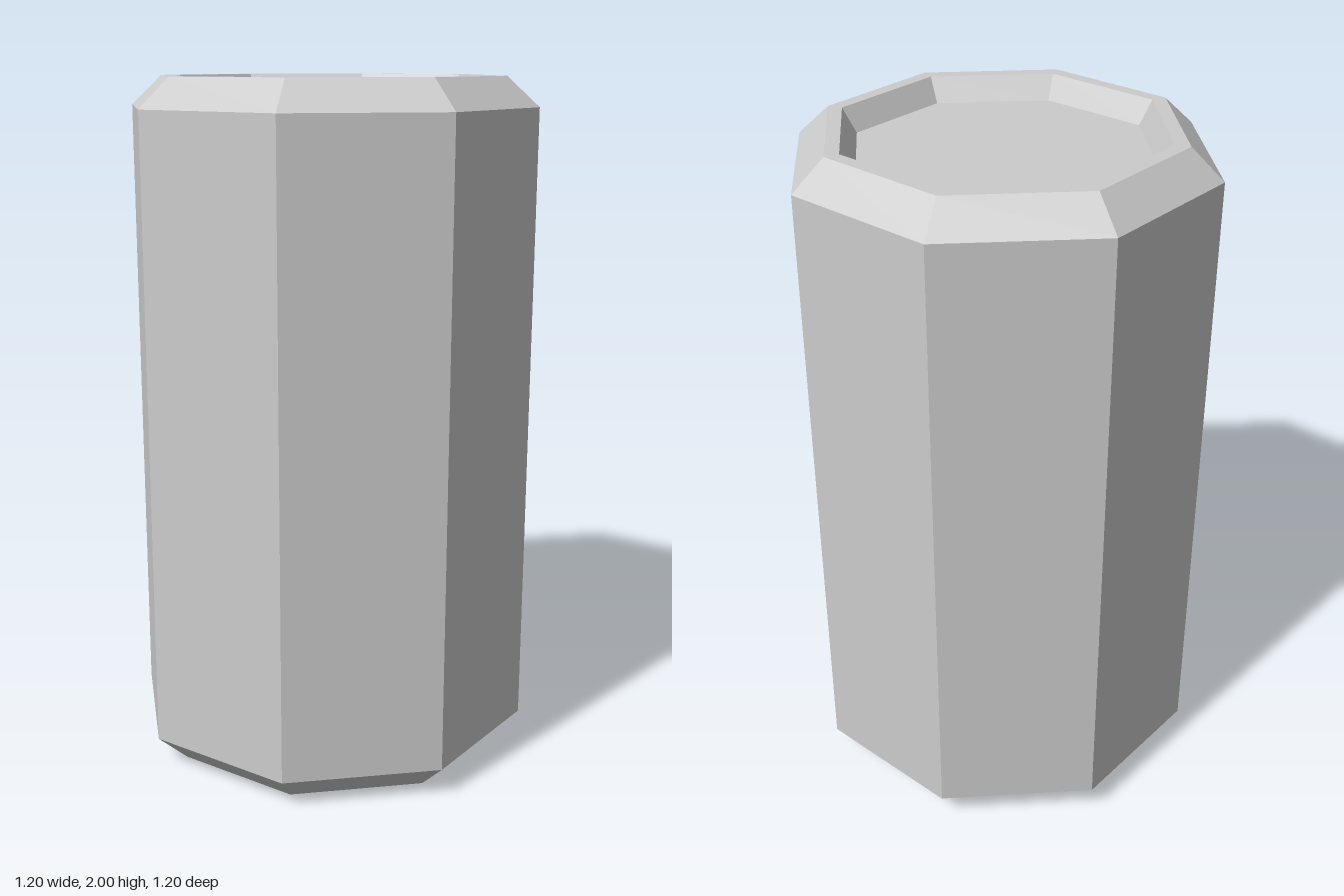
import * as THREE from 'three';

const SIDES = 8;
const material = new THREE.MeshStandardMaterial({ color: 0xcccccc, flatShading: true });

// Eight-sided turned part from [radius, height] points, running bottom to top on the outside
function turned(name, profile) {
  const points = profile.map(([r, y]) => new THREE.Vector2(r, y));
  const mesh = new THREE.Mesh(new THREE.LatheGeometry(points, SIDES), material);
  mesh.name = name;
  return mesh;
}

export function createModel() {
  const group = new THREE.Group();
  group.name = 'can';

  // Tapered hollow in the base, with its flat rim
  group.add(turned('baseHollow', [[0, 0.185], [0.25, 0.185], [0.43, 0], [0.507, 0]]));

  // Straight wall with a bevel at each end
  group.add(turned('body', [[0.507, 0], [0.6, 0.085], [0.6, 1.915], [0.507, 2]]));

  // Flat top rim and the shallow sunken lid
  group.add(turned('lid', [[0.507, 2], [0.465, 2], [0.425, 1.933], [0, 1.933]]));

  return group;
}
